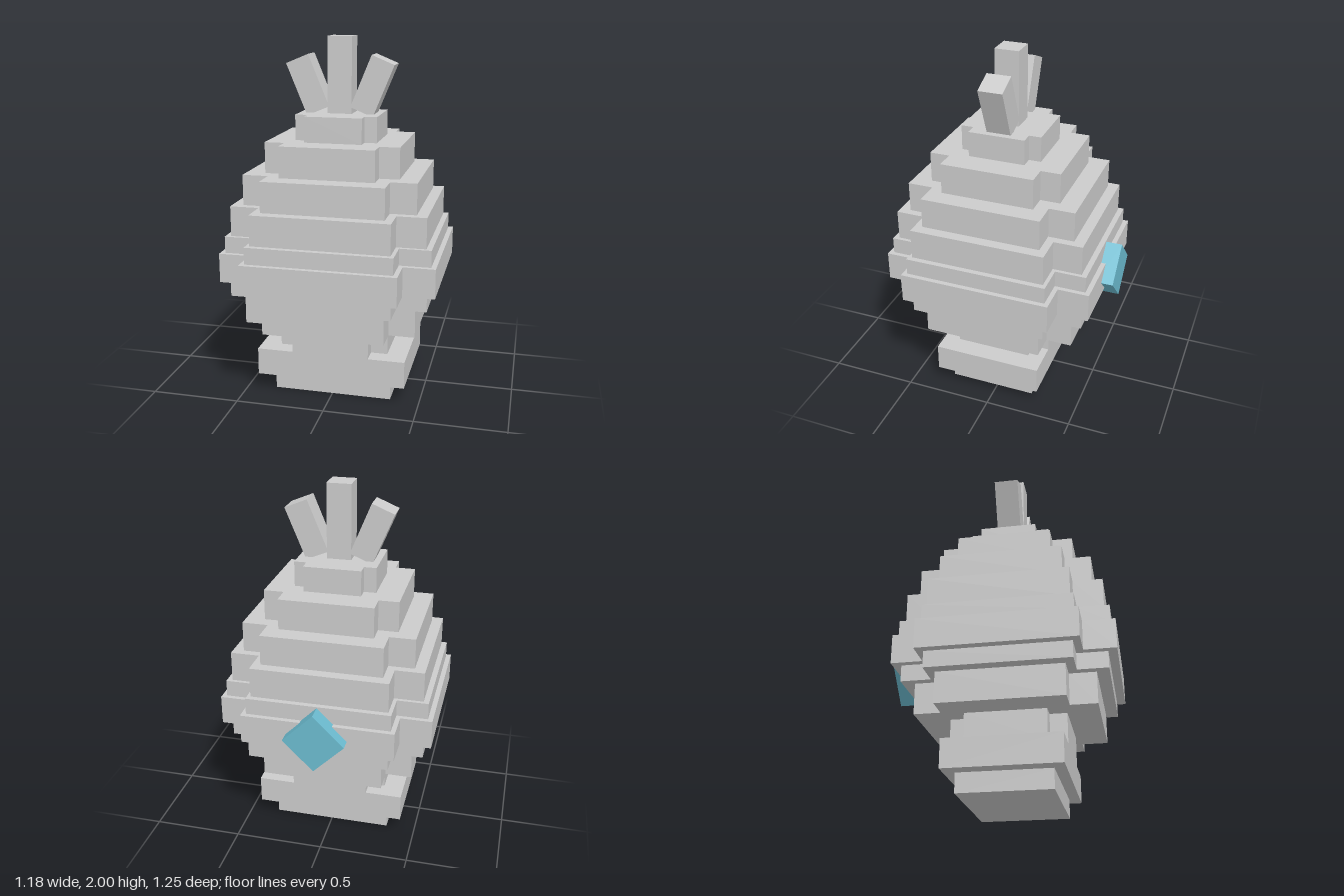
import * as THREE from 'three';

const grey = new THREE.MeshStandardMaterial({ color: 0xcccccc });
grey.name = 'light grey';
const teal = new THREE.MeshStandardMaterial({ color: 0x6cbcd0 });
teal.name = 'pale teal';

const MID_Z = 0.032; // the body sits slightly forward of the rear plate

function box(name, w, h, d, x, y, z, material, turn = 0) {
  const mesh = new THREE.Mesh(new THREE.BoxGeometry(w, h, d), material);
  mesh.name = name;
  mesh.position.set(x, y, z);
  mesh.rotation.z = turn;
  return mesh;
}

// Slab with a plus-shaped plan: wide and narrow are half widths
function crossTier(name, y0, y1, wide, narrow) {
  const w = wide, n = narrow;
  const outline = [
    [w, -n], [w, n], [n, n], [n, w], [-n, w], [-n, n],
    [-w, n], [-w, -n], [-n, -n], [-n, -w], [n, -w], [n, -n],
  ].map(([x, y]) => new THREE.Vector2(x, y));
  const geometry = new THREE.ExtrudeGeometry(new THREE.Shape(outline), { depth: y1 - y0, bevelEnabled: false });
  geometry.rotateX(-Math.PI / 2);
  const mesh = new THREE.Mesh(geometry, grey);
  mesh.name = name;
  mesh.position.set(0, y0, MID_Z);
  return mesh;
}

export function createModel() {
  const model = new THREE.Group();
  model.name = 'steppedFigure';

  // Rectangular foot
  model.add(box('footBase', 0.67, 0.105, 0.5, 0, 0.0525, MID_Z, grey));
  model.add(box('footSlab', 0.844, 0.155, 0.62, 0, 0.1825, MID_Z, grey));

  // Stacked body: bottom, top, wide half width, narrow half width
  const tiers = [
    [0.26, 0.425, 0.31, 0.217],
    [0.425, 0.595, 0.479, 0.335],
    [0.595, 0.685, 0.545, 0.381],
    [0.685, 0.848, 0.592, 0.42],
    [0.848, 0.94, 0.565, 0.395],
    [0.94, 1.107, 0.535, 0.375],
    [1.107, 1.275, 0.475, 0.332],
    [1.275, 1.445, 0.37, 0.259],
    [1.445, 1.585, 0.226, 0.158],
  ];
  tiers.forEach((t, i) => model.add(crossTier(`bodyTier${i + 1}`, ...t)));

  // Crest: one upright tuft and two leaning ones
  model.add(box('middleTuft', 0.135, 0.425, 0.135, 0, 1.7875, MID_Z, grey));
  for (const [name, side] of [['leftTuft', 1], ['rightTuft', -1]]) {
    model.add(box(name, 0.135, 0.305, 0.135, side * 0.18, 1.737, MID_Z, grey, -side * Math.PI / 8));
  }

  // Diamond tail plate on the back
  model.add(box('tailDiamond', 0.237, 0.237, 0.09, 0, 0.768, -0.58, teal, Math.PI / 4));

  return model;
}
